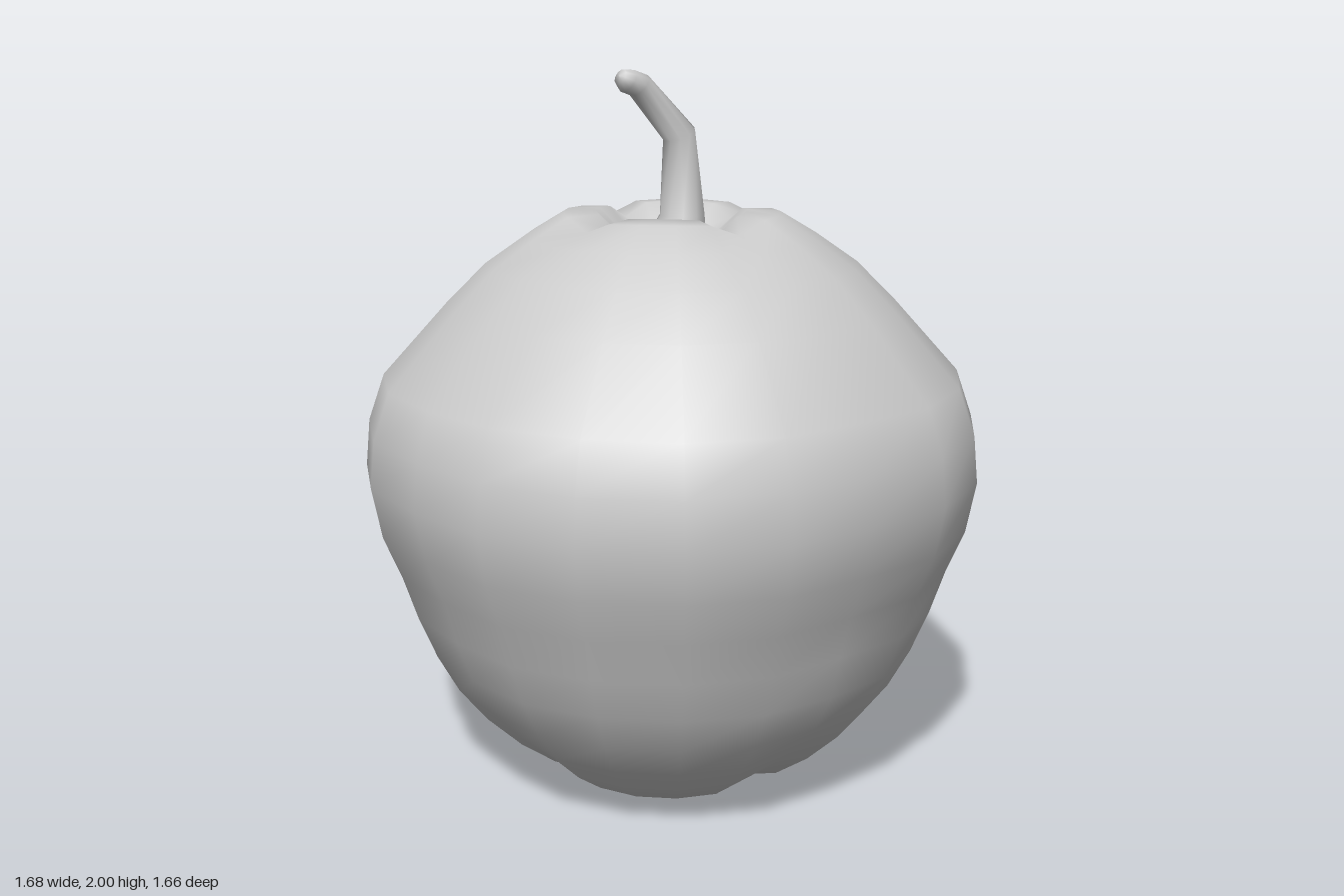
import * as THREE from 'three';

// Skin stacked rings (each an array of Vector3, bottom to top) with smooth normals
function skin(rings) {
  const n = rings[0].length;
  const index = [];
  for (let i = 0; i < rings.length - 1; i++) {
    for (let j = 0; j < n; j++) {
      const k = (j + 1) % n;
      const a = i * n + j, b = i * n + k, c = a + n, d = b + n;
      index.push(a, b, d, a, d, c);
    }
  }
  const geometry = new THREE.BufferGeometry().setFromPoints(rings.flat());
  geometry.setIndex(index);
  geometry.computeVertexNormals();
  return geometry;
}

function ring(sides, place) {
  return Array.from({ length: sides }, (_, j) => place((j / sides) * Math.PI * 2));
}

// Fruit: [radius, height, groove inset, groove lift] from bottom dimple to stem pit
function fruitGeometry() {
  const profile = [
    [0, 0.12, 0, 0], [0.06, 0.1, 0, 0], [0.14, 0.045, 0.05, 0.02],
    [0.24, 0, 0.04, 0.03], [0.36, 0.03, 0.06, 0.03], [0.46, 0.1, 0.05, 0.02],
    [0.555, 0.19, 0.04, 0.01], [0.635, 0.29, 0.03, 0], [0.695, 0.4, 0.025, 0],
    [0.745, 0.52, 0.025, 0], [0.785, 0.64, 0.03, 0], [0.835, 0.76, 0.03, 0],
    [0.862, 0.9, 0.025, 0], [0.85, 1.03, 0.025, 0], [0.805, 1.16, 0.02, 0],
    [0.625, 1.36, 0.02, 0], [0.515, 1.47, 0.025, 0], [0.4, 1.55, 0.04, -0.01],
    [0.3, 1.61, 0.04, -0.035], [0.21, 1.615, 0, -0.04], [0.14, 1.55, 0, -0.02],
    [0.07, 1.5, 0, 0], [0, 1.48, 0, 0],
  ];
  return skin(profile.map(([r, y, inset, lift]) => ring(20, (a) => {
    // Four narrow grooves divide the body into lobes
    const groove = Math.max(0, Math.cos(4 * a)) ** 2;
    // The front groove is a little deeper around the middle
    const front = r > 0.7 ? 0.025 * Math.max(0, Math.cos(a)) ** 20 : 0;
    const radius = r * (1 - inset * groove - front);
    return new THREE.Vector3(Math.sin(a) * radius, y + lift * groove, Math.cos(a) * radius);
  })));
}

// Stem: [x, y, z, radius, lean towards -x in radians]
function stemGeometry() {
  const sections = [
    [0, 1.46, 0, 0.11, 0], [0.005, 1.51, 0, 0.095, 0], [0.03, 1.6, 0.008, 0.064, 0],
    [0.025, 1.82, 0, 0.047, 0.4], [-0.11, 1.955, -0.002, 0.036, 0.85],
    [-0.148, 1.968, -0.002, 0.034, 1.05], [-0.172, 1.979, -0.002, 0.022, 1.1],
    [-0.176, 1.981, -0.002, 0, 1.1],
  ];
  return skin(sections.map(([x, y, z, r, lean]) => ring(10, (a) => new THREE.Vector3(
    x + Math.sin(a) * r * Math.cos(lean),
    y + Math.sin(a) * r * Math.sin(lean),
    z + Math.cos(a) * r,
  ))));
}

export function createModel() {
  const group = new THREE.Group();
  group.name = 'apple';
  const material = new THREE.MeshStandardMaterial({ color: 0xcccccc });
  const fruit = new THREE.Mesh(fruitGeometry(), material);
  fruit.name = 'fruit';
  const stem = new THREE.Mesh(stemGeometry(), material);
  stem.name = 'stem';
  group.add(fruit, stem);
  return group;
}
